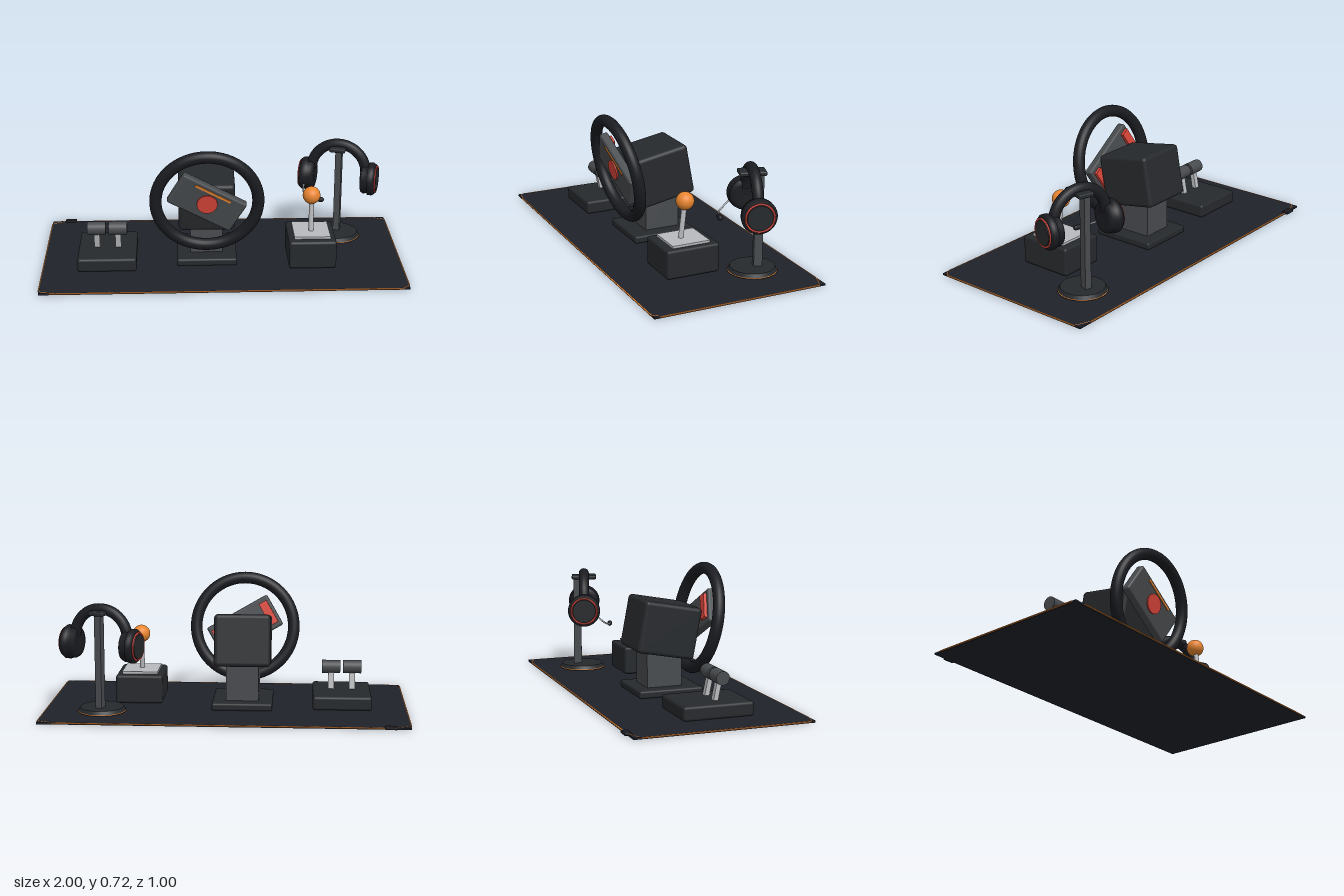
import * as THREE from 'three';
import { RoundedBoxGeometry } from 'three/addons/geometries/RoundedBoxGeometry.js';

const mat = (color) => new THREE.MeshStandardMaterial({ color });
const M = {
  desk: mat(0x20222b), black: mat(0x1b1c21), dark: mat(0x26292c), grey: mat(0x484b4e),
  metal: mat(0xb8babd), orange: mat(0xe88530), red: mat(0xd8453a),
};

function add(parent, name, geometry, material, x = 0, y = 0, z = 0) {
  const mesh = new THREE.Mesh(geometry, material);
  mesh.name = name;
  mesh.position.set(x, y, z);
  parent.add(mesh);
  return mesh;
}

function group(parent, name, x = 0, y = 0, z = 0) {
  const g = new THREE.Group();
  g.name = name;
  g.position.set(x, y, z);
  parent.add(g);
  return g;
}

const box = (w, h, d) => new THREE.BoxGeometry(w, h, d);
const rbox = (w, h, d, r = 0.015) => new RoundedBoxGeometry(w, h, d, 3, r);
const cyl = (rt, rb, h, n = 40) => new THREE.CylinderGeometry(rt, rb, h, n);
const V = (x, y, z) => new THREE.Vector3(x, y, z);

// Straight rod between two points
function rod(parent, name, a, b, r, material) {
  const m = add(parent, name, cyl(r, r, a.distanceTo(b), 20), material);
  m.position.copy(a).lerp(b, 0.5);
  m.quaternion.setFromUnitVectors(V(0, 1, 0), b.clone().sub(a).normalize());
}

function buildMat(root) {
  const g = group(root, 'deskMat');
  add(g, 'matSheet', box(1.99, 0.01, 0.975), M.desk, 0, 0.006, 0.003);
  // Stitched edge with cut corners
  const x = 0.996, z0 = -0.483, z1 = 0.491, c = 0.08, d = 0.018, y = 0.008;
  const p = [[-x + c, z0], [x - c, z0], [x, z0 + d * 2], [x, z1 - d * 2], [x - d * 2, z1],
    [-x + c, z1], [-x, z1 - d], [-x, z0 + d * 2]].map(([a, b]) => V(a, y, b));
  const path = new THREE.CurvePath();
  p.forEach((a, i) => path.add(new THREE.LineCurve3(a, p[(i + 1) % p.length])));
  add(g, 'edgeTrim', new THREE.TubeGeometry(path, 240, 0.004, 8, true), M.orange);
  add(g, 'cablePlug', rbox(0.065, 0.016, 0.038, 0.005), M.black, -0.887, 0.011, -0.485);
}

function buildThrottle(root) {
  const g = group(root, 'throttle', -0.64, 0, 0.045);
  add(g, 'throttleBase', rbox(0.325, 0.077, 0.39), M.dark, 0, 0.0505, 0);
  for (const x of [-0.059, 0.059]) {
    const stem = add(g, 'leverStem', box(0.032, 0.13, 0.026), M.metal, x, 0.135, 0.025);
    stem.rotation.x = 0.2;
    add(g, 'leverHandle', cyl(0.037, 0.037, 0.102), M.grey, x, 0.21, 0.04).rotation.z = Math.PI / 2;
  }
}

function buildWheel(root) {
  const g = group(root, 'wheelUnit', -0.088, 0, 0);
  add(g, 'wheelBase', rbox(0.335, 0.042, 0.37, 0.012), M.dark, 0, 0.033, -0.005);
  add(g, 'wheelPost', box(0.18, 0.24, 0.2), M.grey, 0, 0.165, -0.02);
  const tilt = 0.185;
  add(g, 'motorHousing', rbox(0.31, 0.288, 0.332, 0.022), M.dark, 0, 0.374, -0.008).rotation.x = tilt;

  const wheel = group(g, 'steeringWheel', 0, 0.412, 0.211);
  wheel.rotation.x = tilt;
  add(wheel, 'rim', new THREE.TorusGeometry(0.279, 0.033, 20, 80), M.black);
  add(wheel, 'shaft', cyl(0.04, 0.04, 0.08), M.grey, 0, 0, -0.045).rotation.x = Math.PI / 2;
  // Turned face plate with hub button, light strip and paddles
  const plate = group(wheel, 'wheelFace');
  plate.rotation.z = -Math.PI / 6;
  add(plate, 'facePlate', rbox(0.395, 0.195, 0.05, 0.012), M.grey);
  add(plate, 'hubButton', cyl(0.056, 0.056, 0.012), M.red, 0, 0, 0.027).rotation.x = Math.PI / 2;
  add(plate, 'lightStrip', box(0.22, 0.013, 0.008), M.orange, -0.004, 0.072, 0.026);
  for (const s of [-1, 1]) add(plate, 'paddle', box(0.05, 0.14, 0.018), M.red, s * 0.155, 0, -0.035);
}

function buildStick(root) {
  const g = group(root, 'joystick', 0.494, 0, 0.09);
  add(g, 'stickBase', rbox(0.262, 0.16, 0.305), M.dark, 0, 0.095, 0);
  add(g, 'topPlate', box(0.2, 0.016, 0.216), M.metal, 0, 0.18, 0);
  rod(g, 'stickShaft', V(0, 0.18, 0.014), V(0, 0.36, -0.006), 0.014, M.metal);
  add(g, 'ballKnob', new THREE.SphereGeometry(0.049, 32, 24), M.orange, 0, 0.389, -0.01);
}

function buildHeadset(root) {
  const stand = group(root, 'headsetStand', 0.678, 0, -0.228);
  add(stand, 'standBase', cyl(0.12, 0.133, 0.024, 48), M.dark, 0, 0.028, 0);
  add(stand, 'baseRing', new THREE.TorusGeometry(0.128, 0.004, 8, 64), M.orange, 0, 0.018, 0).rotation.x = Math.PI / 2;
  const post = add(stand, 'standPost', box(0.036, 0.52, 0.046), M.grey, 0.005, 0.295, -0.027);
  post.rotation.y = -0.3;

  const g = group(root, 'headset', 0.677, 0, -0.215);
  g.rotation.y = -0.3;
  add(g, 'hanger', rbox(0.09, 0.024, 0.145, 0.008), M.dark, 0, 0.562, 0);
  // Headband
  add(g, 'headband', new THREE.TorusGeometry(0.156, 0.03, 16, 48, Math.PI), M.black, 0, 0.425, 0);
  // Ear cups: pad inside, shell, ring and cap outside
  for (const s of [-1, 1]) {
    const cup = group(g, 'earCup', s * 0.183, 0.387, 0);
    cup.rotation.z = -s * Math.PI / 2;
    const pad = new THREE.LatheGeometry([[0, -0.045], [0.06, -0.05], [0.08, -0.045], [0.088, -0.03],
      [0.082, -0.01], [0.093, -0.006], [0.094, 0.018], [0.082, 0.034], [0, 0.034]]
      .map(([r, h]) => new THREE.Vector2(r, h)), 48);
    add(cup, 'cupShell', pad, M.black);
    add(cup, 'cupCap', cyl(0.066, 0.072, 0.012), M.dark, 0, 0.036, 0);
    add(cup, 'cupRing', new THREE.TorusGeometry(0.074, 0.005, 10, 64), M.red, 0, 0.036, 0).rotation.x = Math.PI / 2;
  }
  // Microphone boom
  const boom = new THREE.CatmullRomCurve3([V(-0.185, 0.36, 0.07), V(-0.18, 0.32, 0.11),
    V(-0.155, 0.3, 0.14), V(-0.1, 0.292, 0.152)]);
  add(g, 'micBoom', new THREE.TubeGeometry(boom, 24, 0.005, 8), M.metal);
  const mic = add(g, 'micTip', new THREE.CapsuleGeometry(0.014, 0.03, 6, 16), M.black, -0.08, 0.292, 0.152);
  mic.rotation.z = Math.PI / 2;
}

export function createModel() {
  const root = new THREE.Group();
  root.name = 'gamingDesk';
  buildMat(root);
  buildThrottle(root);
  buildWheel(root);
  buildStick(root);
  buildHeadset(root);
  return root;
}
